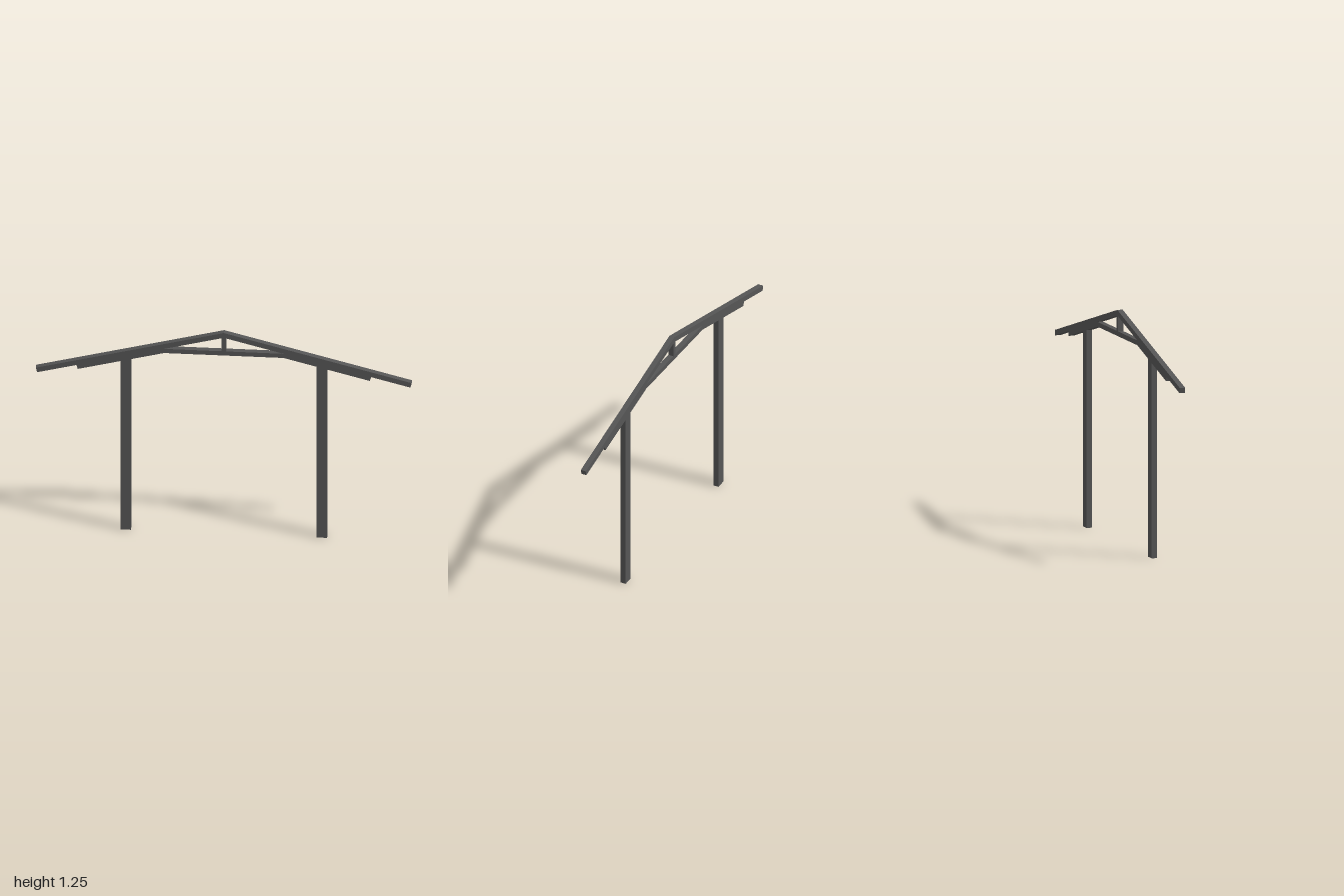
import * as THREE from 'three';

const DEPTH = 0.03;
const SLOPE = 0.264;
const material = new THREE.MeshStandardMaterial({ color: 0x555555, flatShading: true });

// Heights of the sloping lines at a distance x from the ridge
const roofTop = (x) => 1.25 - SLOPE * x;
const roofUnder = (x) => 1.22 - SLOPE * x;
const braceUnder = (x) => 1.194 - SLOPE * x;

// Flat timber cut to an outline in the frame's plane, optionally mirrored
function timber(name, outline, side = 1) {
  const points = outline.map(([x, y]) => new THREE.Vector2(x * side, y));
  const geometry = new THREE.ExtrudeGeometry(new THREE.Shape(points), {
    depth: DEPTH,
    bevelEnabled: false,
  });
  geometry.translate(0, 0, -DEPTH / 2);
  const mesh = new THREE.Mesh(geometry, material);
  mesh.name = name;
  return mesh;
}

export function createModel() {
  const group = new THREE.Group();
  group.name = 'portalFrame';

  for (const [label, side] of [['left', 1], ['right', -1]]) {
    // Rafter, square-cut at the eave and plumb-cut at the ridge
    group.add(timber(`${label}Rafter`, [
      [0, roofTop(0)], [0, roofUnder(0)],
      [0.993, roofUnder(0.993)], [1, roofTop(1)],
    ], side));

    // Brace under the rafter, mitred against the tie beam
    group.add(timber(`${label}Brace`, [
      [0.32, roofUnder(0.32)], [0.318, braceUnder(0.318)],
      [0.777, braceUnder(0.777)], [0.784, roofUnder(0.784)],
    ], side));

    // Post, its top cut to the slope of the brace
    group.add(timber(`${label}Post`, [
      [0.494, 0], [0.55, 0],
      [0.55, braceUnder(0.55)], [0.494, braceUnder(0.494)],
    ], side));
  }

  // Tie beam between the braces
  const tieTop = 1.136, tieBottom = braceUnder(0.318);
  group.add(timber('tieBeam', [
    [-0.318, tieBottom], [0.318, tieBottom], [0.32, tieTop], [-0.32, tieTop],
  ]));

  // King post from the tie beam to the ridge
  group.add(timber('kingPost', [
    [-0.013, tieTop], [0.013, tieTop], [0.013, roofUnder(0.013)],
    [0, roofUnder(0)], [-0.013, roofUnder(0.013)],
  ]));

  return group;
}
